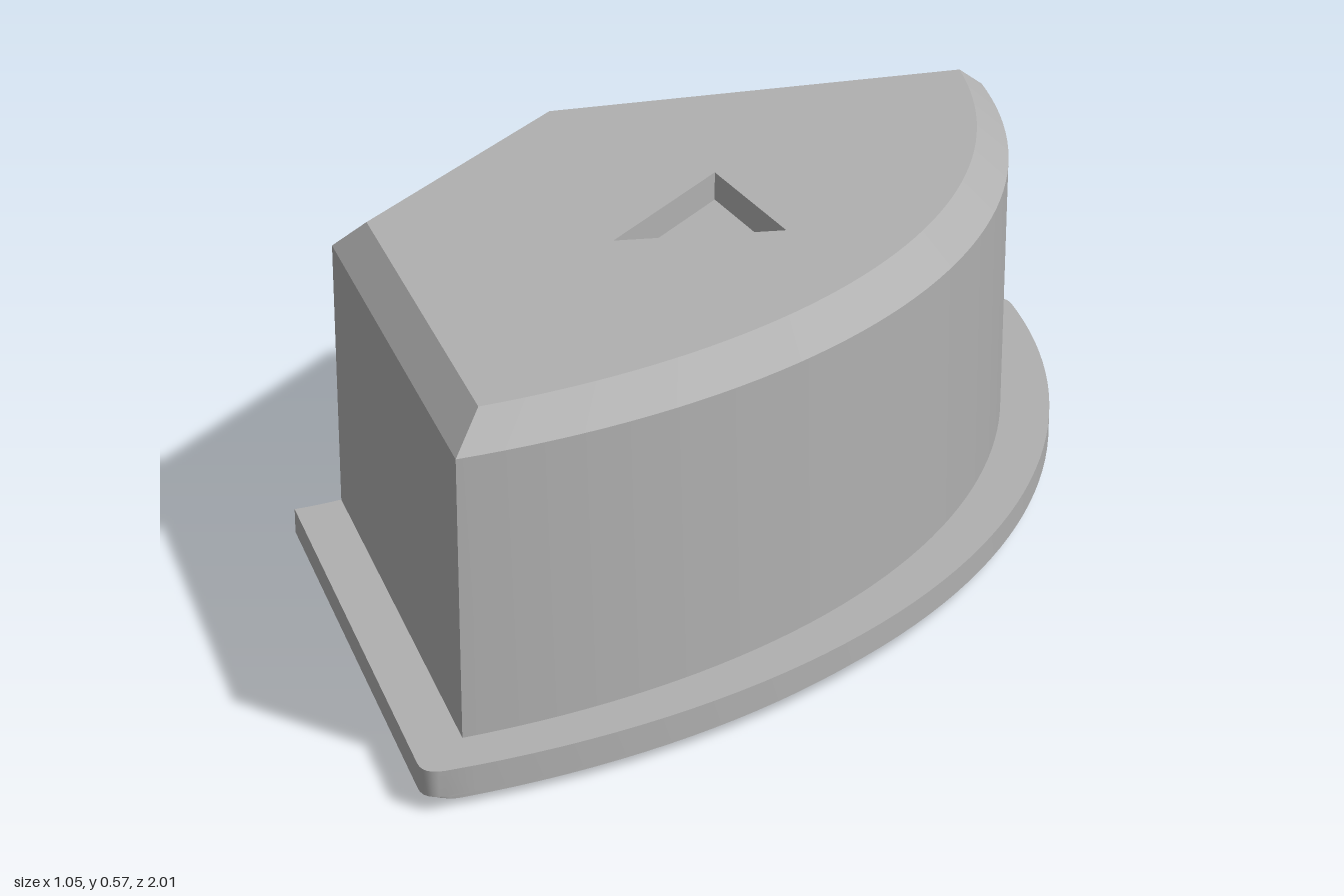
import * as THREE from 'three';
import { toCreasedNormals } from 'three/addons/utils/BufferGeometryUtils.js';

const CX = -0.97; // shared centre of the inner and outer arcs
const INNER = 0.575;

// x where the 45 degree side line z = x + k meets a circle of radius r about CX
function meet(k, r) {
  const m = (k - CX) / 2, d = (k + CX) / 2;
  return Math.sqrt(r * r / 2 - d * d) - m;
}

// Sector outline, counterclockwise: side lines, outer arc, optional concave inner arc
function outline(k, outer, { leftX = meet(k, INNER), round = 0, concave = true } = {}) {
  const tipX = meet(k, outer), tip = new THREE.Vector2(tipX, -tipX - k);
  const tipAngle = Math.atan2(tip.y, tip.x - CX) + round / outer;
  const onArc = (r, a) => new THREE.Vector2(CX + r * Math.cos(a), r * Math.sin(a));
  const half = [new THREE.Vector2(leftX, -leftX - k)];
  if (round) {
    const start = new THREE.Vector2(tipX - round * 0.7, tip.y + round * 0.7);
    half.push(...new THREE.QuadraticBezierCurve(start, tip, onArc(outer, tipAngle)).getPoints(6).slice(0, -1));
  }
  for (let i = 0; i <= 24; i++) half.push(onArc(outer, tipAngle * (1 - i / 24)));
  const pts = [...half, ...half.slice(0, -1).reverse().map(p => new THREE.Vector2(p.x, -p.y))];
  if (concave) {
    const a = Math.atan2(leftX + k, leftX - CX);
    for (let i = 1; i < 24; i++) pts.push(onArc(INNER, a * (1 - i / 12)));
  }
  return pts;
}

const square = (h, x = 0.08) =>
  [[-h, -h], [h, -h], [h, h], [-h, h]].map(([a, b]) => new THREE.Vector2(x + a, b));

function shapeOf(pts, hole) {
  const s = new THREE.Shape(pts);
  if (hole) s.holes.push(new THREE.Path(hole));
  return s;
}

// Upright slab of an outline between two heights
function slab(pts, hole, y0, y1) {
  const g = new THREE.ExtrudeGeometry(shapeOf(pts, hole), { depth: y1 - y0, bevelEnabled: false });
  return toCreasedNormals(g.rotateX(-Math.PI / 2).translate(0, y0, 0), 0.5);
}

// Flat face at one height, facing up or down
function face(pts, hole, y, up = true) {
  const g = new THREE.ShapeGeometry(shapeOf(pts, hole)).rotateX(-Math.PI / 2).translate(0, y, 0);
  if (!up) {
    g.index.array.reverse();
    g.computeVertexNormals();
  }
  return g;
}

// Wall strip through rings [points, y]; inward turns it to face the middle
function loft(rings, inward = false) {
  const pos = [];
  for (let r = 0; r + 1 < rings.length; r++) {
    const [[a, ya], [b, yb]] = [rings[r], rings[r + 1]];
    for (let i = 0; i < a.length; i++) {
      const j = (i + 1) % a.length;
      const q = [[a[i].x, ya, -a[i].y], [a[j].x, ya, -a[j].y], [b[j].x, yb, -b[j].y], [b[i].x, yb, -b[i].y]];
      for (const n of inward ? [0, 2, 1, 0, 3, 2] : [0, 1, 2, 0, 2, 3]) pos.push(...q[n]);
    }
  }
  const g = new THREE.BufferGeometry();
  g.setAttribute('position', new THREE.Float32BufferAttribute(pos, 3));
  g.computeVertexNormals();
  return toCreasedNormals(g, 0.5);
}

export function createModel() {
  const model = new THREE.Group();
  model.name = 'sectorButton';
  const grey = new THREE.MeshStandardMaterial({ color: 0xb0b0b0 });
  grey.name = 'grey';
  const add = (name, geometry) => {
    const mesh = new THREE.Mesh(geometry, grey);
    mesh.name = name;
    model.add(mesh);
  };

  // Flange with a stepped lower edge
  const opening = square(0.272);
  [[0.03, 0, 0.008], [0.02, 0.008, 0.017], [0.01, 0.017, 0.025], [0, 0.025, 0.067]].forEach(([inset, y0, y1], i) =>
    add('flangeLayer' + (i + 1),
      slab(outline(0.89 - inset * Math.SQRT2, 1.495 - inset, { round: 0.035 }), opening, y0, y1)));

  // Body with a concave inner wall
  add('body', slab(outline(0.775, 1.41), opening, 0.067, 0.52));

  // Bevelled cap, straight across its inner edge, with a triangular pocket
  const capBase = outline(0.775, 1.41, { concave: false });
  const capTop = outline(0.705, 1.355, { leftX: -0.415, concave: false });
  const arrow = [[-0.03, -0.17], [0.19, 0], [-0.03, 0.17]].map(p => new THREE.Vector2(...p));
  add('capBevel', loft([[capBase, 0.52], [capTop, 0.57]]));
  add('capTop', face(capTop, arrow, 0.57));
  add('capUnderside', face(capBase, null, 0.52, false));
  add('pocketWalls', loft([[arrow, 0.522], [arrow, 0.57]], true));
  add('pocketFloor', face(arrow, null, 0.522));

  // Tapered socket and shaft reached from below
  add('socket', loft([
    [opening, 0.05], [square(0.12), 0.13], [square(0.1), 0.13], [square(0.1), 0.52],
  ], true));
  return model;
}
